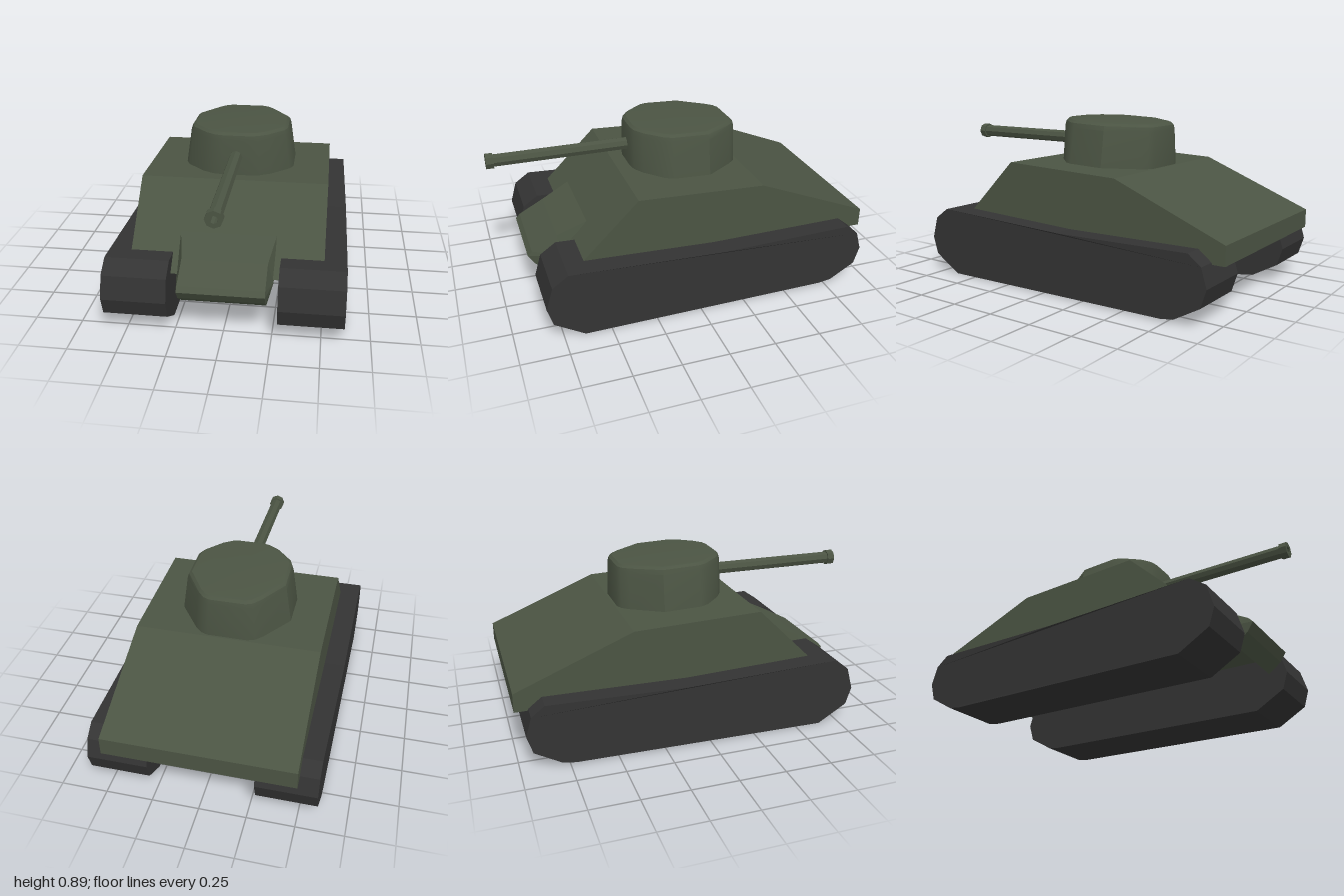
import * as THREE from 'three';
import { toCreasedNormals } from 'three/addons/utils/BufferGeometryUtils.js';

const green = new THREE.MeshStandardMaterial({ color: 0x4b5443, flatShading: true });
const smoothGreen = new THREE.MeshStandardMaterial({ color: 0x4b5443 });
const grey = new THREE.MeshStandardMaterial({ color: 0x333333, flatShading: true });

function part(parent, name, geometry, material) {
  const mesh = new THREE.Mesh(geometry, material);
  mesh.name = name;
  parent.add(mesh);
  return mesh;
}

// Side profile of [z, y] points extruded across x, centred on x.
function sideExtrude(profile, width, x = 0) {
  const shape = new THREE.Shape(profile.map(([z, y]) => new THREE.Vector2(z, y)));
  return new THREE.ExtrudeGeometry(shape, { depth: width, bevelEnabled: false })
    .translate(0, 0, -width / 2)
    .rotateY(-Math.PI / 2)
    .translate(x, 0, 0);
}

function fromTriangles(corners) {
  const geometry = new THREE.BufferGeometry();
  geometry.setAttribute('position', new THREE.Float32BufferAttribute(corners.flat(), 3));
  geometry.computeVertexNormals();
  return geometry;
}

// Track block whose outer face draws in slightly towards the rear.
function trackGeometry(side) {
  const profile = [
    [0.64, 0], [0.80, 0.095], [0.83, 0.19], [0.795, 0.31], [0.71, 0.37],
    [-0.1, 0.34], [-0.86, 0.35], [-0.93, 0.295], [-0.96, 0.195],
    [-0.93, 0.1], [-0.79, 0.02], [-0.72, 0.01],
  ];
  const geometry = sideExtrude(profile, 0.335, side * 0.4475);
  const p = geometry.attributes.position;
  for (let i = 0; i < p.count; i++) {
    const x = p.getX(i);
    if (Math.abs(x) > 0.5 && p.getZ(i) < 0) p.setX(i, x + side * 0.016 * p.getZ(i));
  }
  geometry.computeVertexNormals();
  return geometry;
}

// Nose housing: a side profile [z, y, halfWidth] that narrows forwards.
function noseGeometry() {
  const profile = [
    [0.53, 0.45, 0.25], [0.69, 0.375, 0.22], [0.83, 0.3, 0.22], [0.853, 0.275, 0.22],
    [0.82, 0.225, 0.22], [0.75, 0.17, 0.22], [0.69, 0.27, 0.25],
  ];
  const at = (i, s) => {
    const [z, y, w] = profile[i % profile.length];
    return [s * w, y, z];
  };
  const last = profile.length - 1;
  const tris = [];
  for (let i = 0; i <= last; i++) {
    tris.push(at(i, 1), at(i, -1), at(i + 1, -1), at(i, 1), at(i + 1, -1), at(i + 1, 1));
    if (i < last - 1) {
      tris.push(at(last, 1), at(i, 1), at(i + 1, 1), at(last, -1), at(i + 1, -1), at(i, -1));
    }
  }
  return fromTriangles(tris);
}

// Turret: a plan outline lofted upwards with a rounded shoulder and a slight forward rise.
function turretGeometry() {
  const half = [
    [0.08, 0.235], [0.13, 0.225], [0.19, 0.19], [0.285, 0.095], [0.305, 0.05],
    [0.305, -0.155], [0.19, -0.315], [0.15, -0.355], [0.11, -0.37],
  ];
  const outline = [...half, ...half.map(([x, z]) => [-x, z]).reverse()];
  // Levels: height, x scale, z scale
  const levels = [[0.63, 1, 1], [0.845, 0.895, 0.99], [0.87, 0.87, 0.97], [0.883, 0.82, 0.92], [0.885, 0.76, 0.86]];
  const zMid = -0.07;
  const at = (l, i) => {
    const [y, sx, sz] = levels[l];
    const [x, z] = outline[i % outline.length];
    const zz = zMid + (z - zMid) * sz;
    return [x * sx, y + 0.035 * zz, zz];
  };
  const top = levels.length - 1;
  const centre = [0, levels[top][0] + 0.035 * zMid, zMid];
  const tris = [];
  for (let i = 0; i < outline.length; i++) {
    for (let l = 0; l < top; l++) {
      tris.push(at(l, i), at(l, i + 1), at(l + 1, i + 1), at(l, i), at(l + 1, i + 1), at(l + 1, i));
    }
    tris.push(centre, at(top, i), at(top, i + 1));
  }
  return toCreasedNormals(fromTriangles(tris), 0.56);
}

export function createModel() {
  const tank = new THREE.Group();
  tank.name = 'tank';

  // Hull with sloped front and long sloped rear deck
  const hull = [
    [0.69, 0.285], [0.31, 0.66], [-0.38, 0.635], [-1, 0.385], [-1, 0.285],
  ];
  part(tank, 'hull', sideExtrude(hull, 1), green);
  part(tank, 'nose', noseGeometry(), green);

  // Tracks
  part(tank, 'leftTrack', trackGeometry(1), grey);
  part(tank, 'rightTrack', trackGeometry(-1), grey);

  // Turret
  part(tank, 'turret', turretGeometry(), smoothGreen);

  // Gun barrel with muzzle collar and hollow bore, turned around z
  const barrel = [
    [0.035, 0.15], [0.035, 0.96], [0.044, 0.96], [0.044, 1], [0.02, 1], [0.02, 0.93], [0, 0.93],
  ].map(([r, z]) => new THREE.Vector2(r, z));
  const gun = part(tank, 'gunBarrel', new THREE.LatheGeometry(barrel, 8).rotateX(Math.PI / 2), green);
  gun.position.y = 0.76;

  return tank;
}
